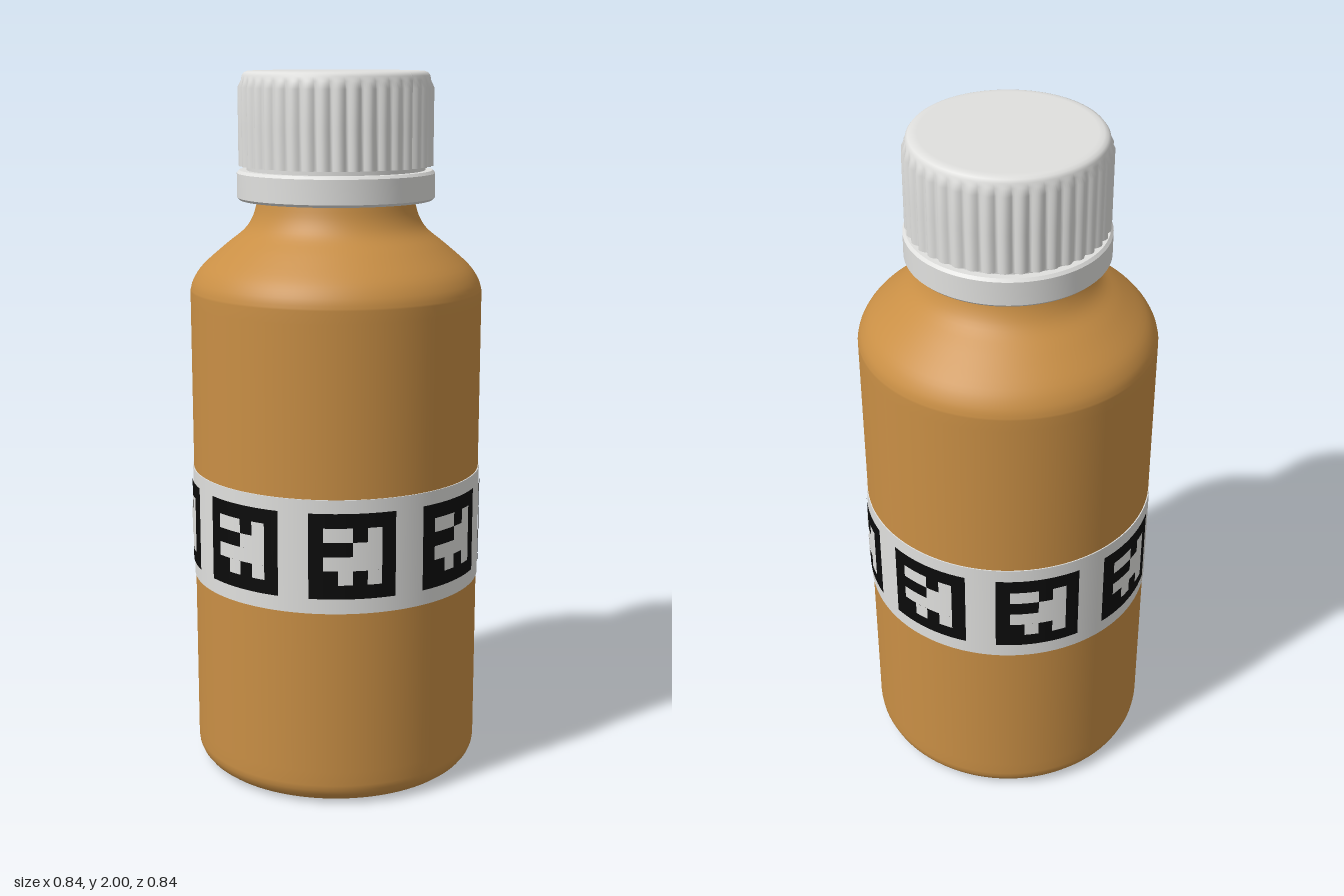
import * as THREE from 'three';

const mat = (name, color) => Object.assign(new THREE.MeshStandardMaterial({ color }), { name });

export function createModel() {
  const amber = mat('amber plastic', 0xc98f45);
  const white = mat('white plastic', 0xe0e0de);
  const black = mat('black print', 0x0b0b0b);
  const group = new THREE.Group();

  const add = (name, geometry, material, parent = group) => {
    const mesh = new THREE.Mesh(geometry, material);
    mesh.name = name;
    parent.add(mesh);
    return mesh;
  };

  // Revolved profile; a repeated point makes a sharp edge
  const lathe = (points, segments = 96) => {
    const g = new THREE.LatheGeometry(points.map(([r, y]) => new THREE.Vector2(r, y)), segments);
    return g;
  };

  // Bottle: rounded base, straight wall, S-shaped shoulder and neck
  const profile = [[0, 0], [0.35, 0]];
  for (let i = 1; i <= 6; i++) {
    const a = (i / 6) * Math.PI / 2;
    profile.push([0.352 + 0.06 * Math.sin(a), 0.06 - 0.06 * Math.cos(a)]);
  }
  profile.push([0.412, 0.1], [0.412, 1.36], [0.412, 1.395]);
  const shoulder = new THREE.SplineCurve([
    [0.412, 1.395], [0.403, 1.425], [0.375, 1.465], [0.31, 1.522],
    [0.257, 1.565], [0.232, 1.605], [0.22, 1.65],
  ].map(([r, y]) => new THREE.Vector2(r, y)));
  shoulder.getPoints(24).slice(1).forEach((p) => profile.push([p.x, p.y]));
  profile.push([0.22, 1.76]);
  add('bottle', lathe(profile), amber);

  // Tamper ring under the cap, hollow inside
  add('tamperRing', (() => {
    const g = lathe([
      [0.24, 1.648], [0.27, 1.648], [0.27, 1.648], [0.277, 1.655], [0.277, 1.655],
      [0.277, 1.722], [0.277, 1.722], [0.27, 1.73], [0.27, 1.73],
      [0.24, 1.73], [0.24, 1.73], [0.24, 1.648],
    ]);
    g.computeVertexNormals();
    return g;
  })(), white);

  // Bridge between ring and cap
  add('capBridge', new THREE.CylinderGeometry(0.25, 0.25, 0.03, 64), white);
  group.getObjectByName('capBridge').position.y = 1.735;

  // Cap: ribs are pushed out of the side wall
  const ribs = 40;
  const capGeo = lathe([
    [0, 1.742], [0.262, 1.742], [0.262, 1.742], [0.262, 1.744], [0.262, 1.85],
    [0.262, 1.955], [0.262, 1.975], [0.26, 1.987], [0.254, 1.995], [0.244, 1.999],
    [0.23, 2], [0, 2],
  ], ribs * 8);
  const pos = capGeo.attributes.position;
  for (let i = 0; i < pos.count; i++) {
    const x = pos.getX(i), y = pos.getY(i), z = pos.getZ(i);
    const r = Math.hypot(x, z);
    if (r < 0.2 || y > 1.965) continue;
    const k = 1 + 0.01 * Math.abs(Math.sin(Math.atan2(x, z) * ribs / 2)) / r;
    pos.setXYZ(i, x * k, y, z * k);
  }
  capGeo.computeVertexNormals();
  add('cap', capGeo, white);

  // Curved plate on the wall, angle measured from the front
  const plate = (r, y0, y1, start, length) => {
    const segments = Math.max(3, Math.ceil(length / 0.06));
    const g = new THREE.CylinderGeometry(r, r, y1 - y0, segments, 1, true, start, length);
    return g.translate(0, (y0 + y1) / 2, 0);
  };

  // Label band with thin top and bottom edges
  add('labelBand', lathe([
    [0.41, 0.567], [0.415, 0.567], [0.415, 0.567], [0.415, 0.887], [0.415, 0.887], [0.41, 0.887],
  ]), white);

  // Eight square cell markers around the band
  const cells = ['1101', '0011', '1111', '0101'];
  const size = 0.24, bottom = 0.61, angle = size / 0.415;
  for (let m = 0; m < 8; m++) {
    const marker = new THREE.Group();
    marker.name = 'marker' + (m + 1);
    marker.rotation.y = m * Math.PI / 4;
    add('markerSquare', plate(0.4175, bottom, bottom + size, -angle / 2, angle), black, marker);
    cells.forEach((row, j) => {
      const y1 = bottom + size * (5 - j) / 6;
      // Neighbouring light cells form one plate
      for (const run of row.matchAll(/1+/g)) {
        const start = angle * ((run.index + 1) / 6 - 0.5);
        add('markerCell', plate(0.4195, y1 - size / 6, y1, start, angle * run[0].length / 6), white, marker);
      }
    });
    group.add(marker);
  }
  return group;
}
